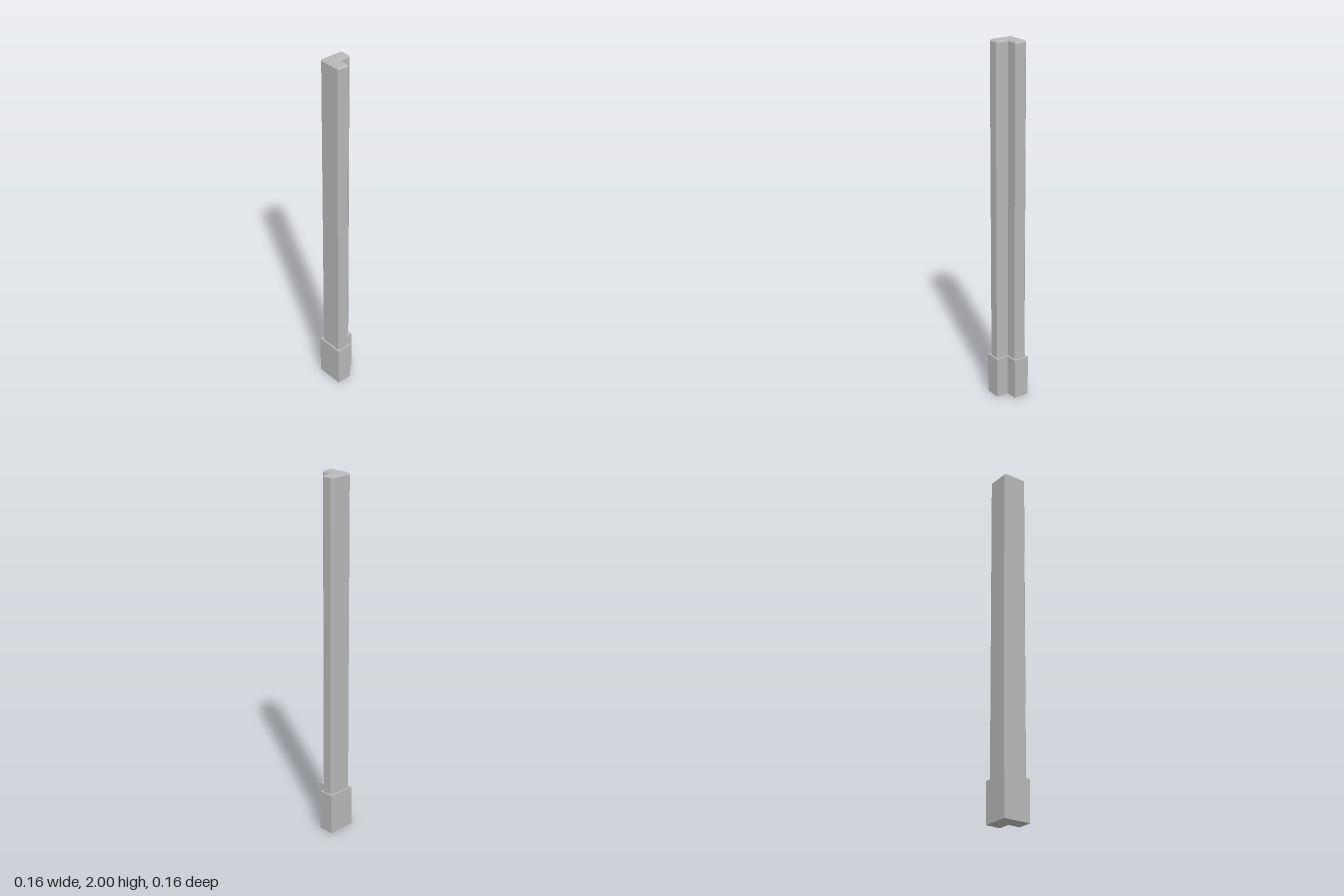
import * as THREE from 'three';

const BEVEL = 0.0085, HEIGHT = 2, BASE_HEIGHT = 0.231;

// L outline, counter-clockwise, seen from above (plan y points to the back)
const outlineL = (outer, inner) => [
  [-outer, -outer], [outer, -outer], [outer, inner],
  [inner, inner], [inner, outer], [-outer, outer],
].map(([x, y]) => new THREE.Vector2(x, y));

// Upright prism from a plan outline
function prism(points, y0, y1) {
  const geo = new THREE.ExtrudeGeometry(new THREE.Shape(points), { depth: y1 - y0, bevelEnabled: false });
  return geo.rotateX(-Math.PI / 2).translate(0, y0, 0);
}

// Push an outline outward; convex corners become chamfers. Keeps each point's source corner.
function chamferedRing(points, size) {
  const ring = [];
  const normal = (a, b) => new THREE.Vector2(b.y - a.y, a.x - b.x).normalize();
  points.forEach((p, i) => {
    const n1 = normal(points[(i + points.length - 1) % points.length], p);
    const n2 = normal(p, points[(i + 1) % points.length]);
    const push = (n) => ring.push({ top: p, low: p.clone().addScaledVector(n, size) });
    if (n1.cross(n2) > 0) { push(n1); push(n2); } else push(n1.add(n2));
  });
  return ring;
}

// Sloping faces between the shaft walls and its top face
function topBevel(ring, y0, y1) {
  const pos = [];
  const add = (p, y) => pos.push(p.x, y, -p.y);
  ring.forEach((a, i) => {
    const b = ring[(i + 1) % ring.length];
    add(a.low, y0); add(b.low, y0); add(b.top, y1);
    if (a.top !== b.top) { add(a.low, y0); add(b.top, y1); add(a.top, y1); }
  });
  const geo = new THREE.BufferGeometry();
  geo.setAttribute('position', new THREE.Float32BufferAttribute(pos, 3));
  geo.computeVertexNormals();
  return geo;
}

export function createModel() {
  const model = new THREE.Group();
  const grey = new THREE.MeshStandardMaterial({ color: 0xb8b8b8 });
  grey.name = 'grey';
  const add = (name, geo, parent) => {
    const mesh = new THREE.Mesh(geo, grey);
    mesh.name = name;
    parent.add(mesh);
  };

  // Foot block
  add('base', prism(outlineL(0.079, 0.0085), 0, BASE_HEIGHT), model);

  // Tall shaft with chamfered edges
  const shaft = new THREE.Group();
  shaft.name = 'shaft';
  const topOutline = outlineL(0.069 - BEVEL, -BEVEL);
  const ring = chamferedRing(topOutline, BEVEL);
  const shoulder = HEIGHT - BEVEL;
  add('shaftWalls', prism(ring.map((r) => r.low), BASE_HEIGHT - 0.02, shoulder), shaft);
  add('shaftBevel', topBevel(ring, shoulder, HEIGHT), shaft);
  const top = new THREE.ShapeGeometry(new THREE.Shape(topOutline));
  add('shaftTop', top.rotateX(-Math.PI / 2).translate(0, HEIGHT, 0), shaft);
  model.add(shaft);

  return model;
}
